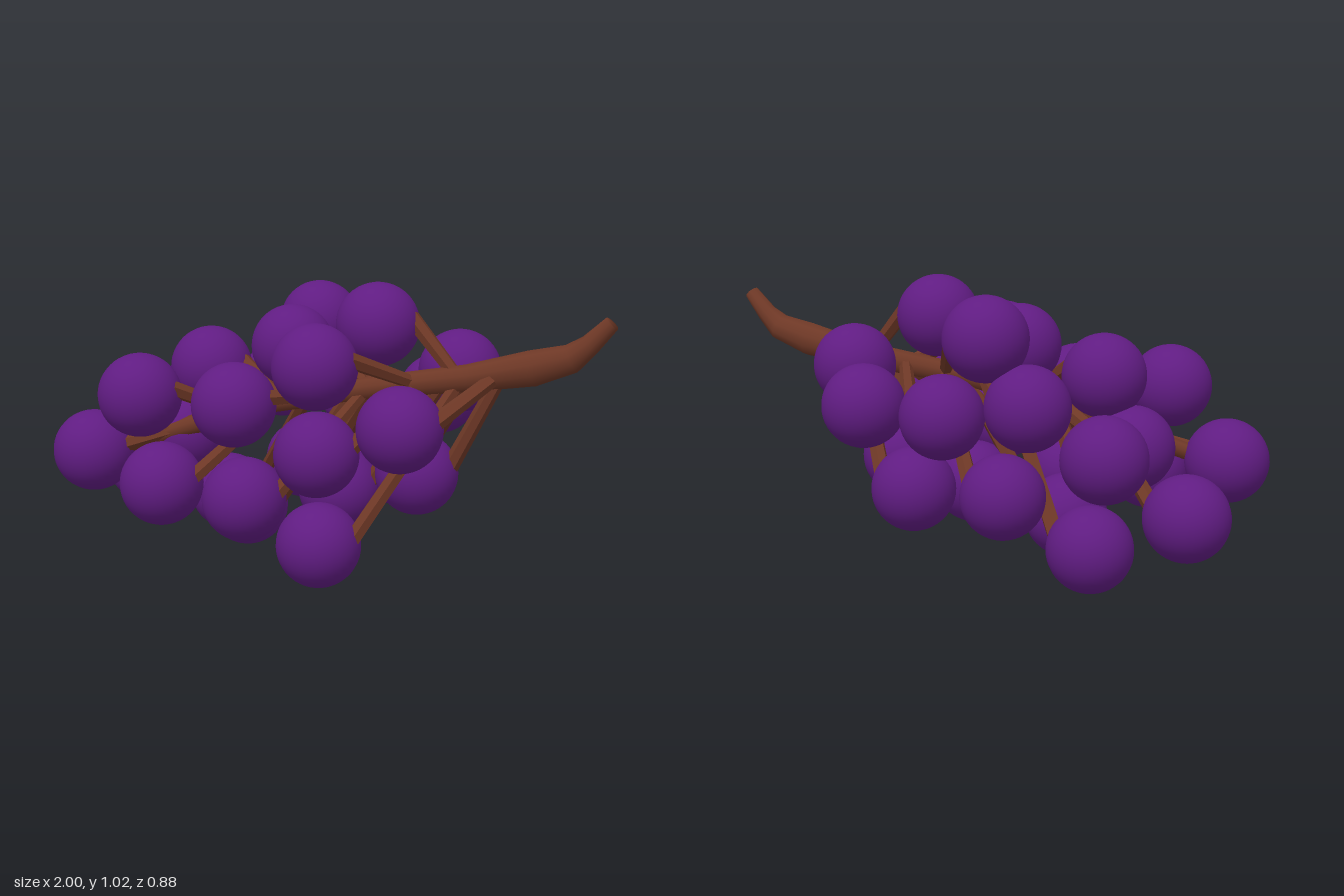
import * as THREE from 'three';

const GRAPE_RADIUS = 0.147;

// Grape centres: x, y, z
const GRAPES = [
  // near side
  [-0.853, 0.4, 0.166], [-0.62, 0.635, 0.27], [-0.54, 0.326, 0.285], [-0.27, 0.62, 0.275],
  [-0.235, 0.29, 0.28], [0.02, 0.765, 0.274], [0.027, 0.465, 0.28], [0.315, 0.567, 0.274],
  [0.037, 0.15, 0.29],
  // middle
  [-0.455, 0.7, 0], [-0.56, 0.455, 0], [-0.32, 0.195, 0.005], [-0.145, 0.79, 0],
  [0.03, 0.285, 0.01], [0.17, 0.88, 0.01], [0.315, 0.358, 0.015],
  // far side
  [-0.8, 0.27, -0.18], [-0.55, 0.47, -0.295], [-0.5, 0.16, -0.28], [-0.28, 0.62, -0.285],
  [-0.19, 0.31, -0.28], [-0.13, 0.845, -0.285], [0.03, 0.57, -0.285], [0.14, 0.31, -0.278],
  [0.325, 0.59, -0.285], [0.435, 0.707, -0.13],
];

// Main stem stations: x, y, z, radius
const STEM = [
  [-0.74, 0.42, 0.14, 0.03], [-0.5, 0.5, 0.11, 0.035], [-0.2, 0.6, 0.1, 0.038],
  [0.15, 0.665, 0.08, 0.04], [0.5, 0.715, 0.065, 0.048], [0.72, 0.76, 0.065, 0.062],
  [0.85, 0.8, 0.07, 0.05], [0.91, 0.85, 0.075, 0.036], [0.98, 0.925, 0.085, 0.027],
];

const vec = (p) => new THREE.Vector3(p[0], p[1], p[2]);

// Point on the main stem at a given x
function stemAt(x) {
  let i = 0;
  while (i < STEM.length - 2 && STEM[i + 1][0] < x) i++;
  const a = STEM[i], b = STEM[i + 1];
  const t = THREE.MathUtils.clamp((x - a[0]) / (b[0] - a[0]), 0, 1);
  return vec(a).lerp(vec(b), t);
}

// Round loops around each station, skinned and closed at both ends
function stemGeometry(sides = 10) {
  const points = STEM.map(vec), pos = [], index = [];
  points.forEach((p, i) => {
    const dir = points[Math.min(i + 1, points.length - 1)].clone()
      .sub(points[Math.max(i - 1, 0)]).normalize();
    const side = new THREE.Vector3(0, 0, 1).cross(dir).normalize();
    const up = dir.clone().cross(side);
    for (let k = 0; k < sides; k++) {
      const a = (k / sides) * Math.PI * 2;
      const q = p.clone().addScaledVector(side, Math.cos(a) * STEM[i][3])
        .addScaledVector(up, Math.sin(a) * STEM[i][3]);
      pos.push(q.x, q.y, q.z);
      if (i < points.length - 1) {
        const m = i * sides + k, n = i * sides + ((k + 1) % sides);
        index.push(m, n, m + sides, n, n + sides, m + sides);
      }
    }
  });
  const last = (points.length - 1) * sides;
  for (let k = 1; k < sides - 1; k++) {
    index.push(0, k + 1, k, last, last + k, last + k + 1);
  }
  const g = new THREE.BufferGeometry();
  g.setAttribute('position', new THREE.Float32BufferAttribute(pos, 3));
  g.setIndex(index);
  g.computeVertexNormals();
  return g;
}

// Straight tapered twig between two points
function twig(from, to, material) {
  const dir = to.clone().sub(from);
  const g = new THREE.CylinderGeometry(0.03, 0.024, dir.length(), 6);
  const mesh = new THREE.Mesh(g, material);
  mesh.position.copy(from).add(to).multiplyScalar(0.5);
  mesh.quaternion.setFromUnitVectors(new THREE.Vector3(0, 1, 0), dir.normalize());
  mesh.name = 'twig';
  return mesh;
}

export function createModel() {
  const model = new THREE.Group();
  model.name = 'grapeBunch';
  const skin = new THREE.MeshStandardMaterial({ color: 0x601c82 });
  const wood = new THREE.MeshStandardMaterial({ color: 0x6e3826 });
  const twigWood = new THREE.MeshStandardMaterial({ color: 0x6e3826, flatShading: true });

  // Main stem
  const stem = new THREE.Mesh(stemGeometry(), wood);
  stem.name = 'mainStem';
  model.add(stem);

  // Grapes, each hung from a twig that meets its stem-side cheek
  const grapes = new THREE.Group();
  grapes.name = 'grapes';
  const twigs = new THREE.Group();
  twigs.name = 'twigs';
  const ball = new THREE.SphereGeometry(GRAPE_RADIUS, 32, 24);
  for (const p of GRAPES) {
    const grape = new THREE.Mesh(ball, skin);
    grape.name = 'grape';
    grape.position.copy(vec(p));
    grapes.add(grape);

    const tip = vec(p).add(new THREE.Vector3(0.12, 0.03, 0.005));
    const root = stemAt(Math.min(p[0] + 0.3 + 0.4 * Math.max(0, 0.5 - p[1]), 0.62));
    twigs.add(twig(root, tip, twigWood));
  }
  model.add(grapes, twigs);
  return model;
}
